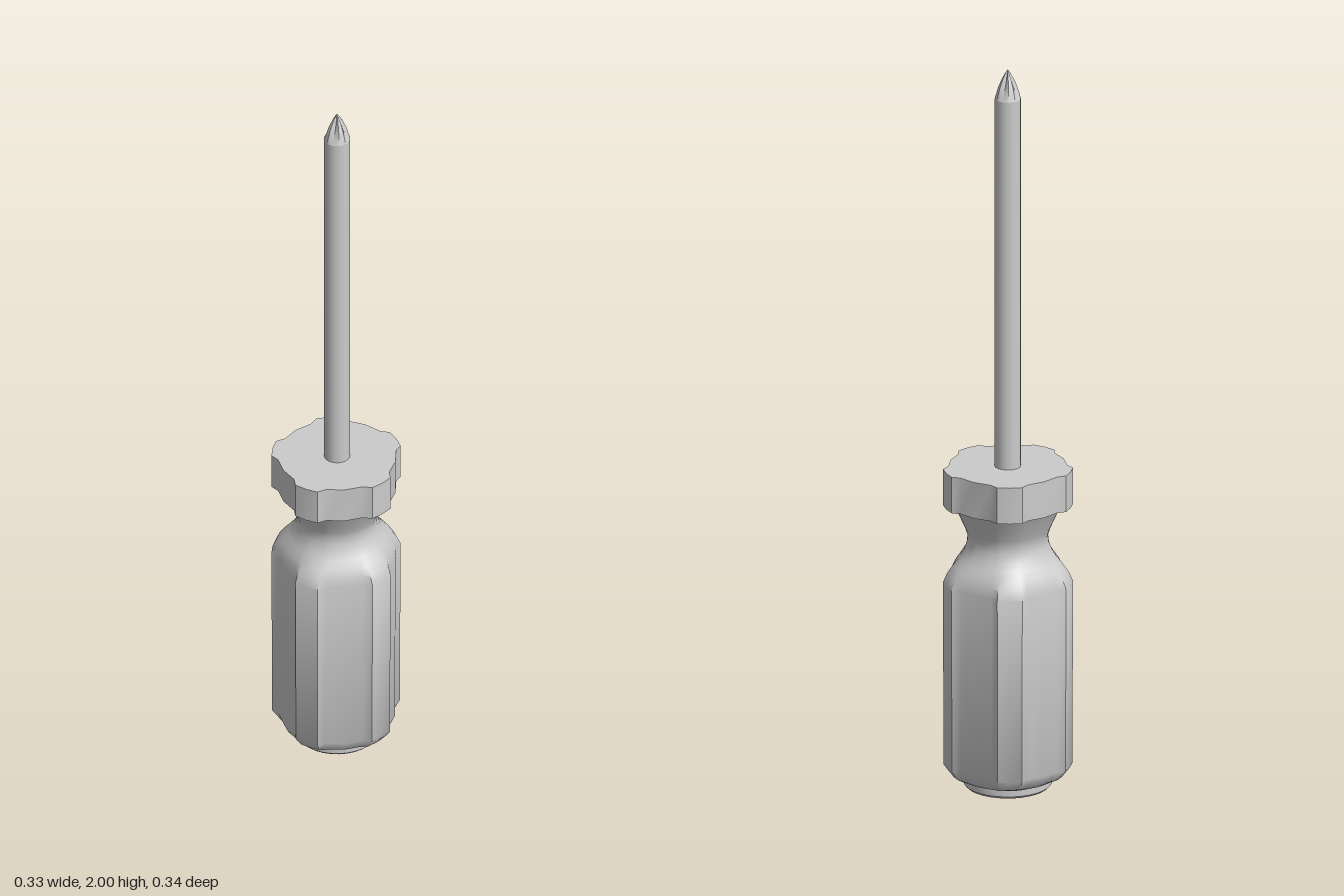
import * as THREE from 'three';
import { toCreasedNormals } from 'three/addons/utils/BufferGeometryUtils.js';

const rad = THREE.MathUtils.degToRad;

// Skin a stack of rings, each an array of Vector3; a ring may collapse to a point.
function skin(rings, crease) {
  const pos = [];
  const tri = (a, b, c) => {
    if (a.distanceTo(b) < 1e-6 || b.distanceTo(c) < 1e-6 || a.distanceTo(c) < 1e-6) return;
    for (const p of [a, b, c]) pos.push(p.x, p.y, p.z);
  };
  for (let i = 0; i < rings.length - 1; i++) {
    const lo = rings[i], hi = rings[i + 1], n = lo.length;
    for (let j = 0; j < n; j++) {
      const k = (j + 1) % n;
      tri(lo[j], hi[j], lo[k]);
      tri(lo[k], hi[j], hi[k]);
    }
  }
  const geo = new THREE.BufferGeometry();
  geo.setAttribute('position', new THREE.Float32BufferAttribute(pos, 3));
  return toCreasedNormals(geo, rad(crease));
}

const polar = (r, deg, y) => new THREE.Vector3(r * Math.cos(rad(deg)), y, r * Math.sin(rad(deg)));

// Five raised ribs around the grip; lobe is 0 for a round ring, 1 for full ribs.
function gripRing([y, r, lobe]) {
  const ring = [];
  for (let i = 0; i < 5; i++) {
    for (const a of [-18, -11, 0, 11, 18, 36]) {
      ring.push(polar(r + (Math.abs(a) < 12 ? 0.016 * lobe : 0), i * 72 + a, y));
    }
  }
  return ring;
}

// Cross tip: four grooves on the diagonals, depth 0 to 1.
function tipRing([y, r, depth]) {
  const ring = [];
  for (let i = 0; i < 24; i++) {
    const a = i * 15;
    const off = Math.abs((a % 90) - 45);
    const cut = off < 1 ? 0.5 : off < 16 ? 0.3 : 0;
    ring.push(polar(r * (1 - cut * depth), a, y));
  }
  return ring;
}

export function createModel() {
  const group = new THREE.Group();
  const material = new THREE.MeshStandardMaterial({ color: 0xcccccc });
  const add = (name, geometry) => {
    const mesh = new THREE.Mesh(geometry, material);
    mesh.name = name;
    group.add(mesh);
  };

  // Ribbed grip, waist and collar in one skin: [height, radius, rib amount]
  const handle = [
    [0.045, 0, 0], [0.045, 0.13, 0.2], [0.053, 0.141, 0.5], [0.08, 0.153, 1],
    [0.585, 0.155, 1], [0.61, 0.149, 0.7], [0.63, 0.14, 0.4], [0.65, 0.126, 0.15],
    [0.668, 0.115, 0], [0.69, 0.107, 0], [0.71, 0.105, 0], [0.73, 0.111, 0],
    [0.755, 0.122, 0], [0.78, 0.133, 0], [0.797, 0.142, 0],
    [0.8, 0.155, 1], [0.9, 0.155, 1], [0.9, 0, 0],
  ];
  add('handle', skin(handle.map(gripRing), 38));

  // Domed end cap under the grip
  const cap = [[0, 0], [0.05, 0.002], [0.085, 0.007], [0.108, 0.015], [0.115, 0.022], [0.115, 0.05]];
  add('endCap', toCreasedNormals(
    new THREE.LatheGeometry(cap.map(([r, y]) => new THREE.Vector2(r, y)), 32), rad(35)));

  // Steel shaft
  const shaft = new THREE.CylinderGeometry(0.034, 0.034, 1.03, 24, 1, true);
  shaft.translate(0, 1.405, 0);
  add('shaft', shaft);

  // Fluted point
  const tip = [
    [1.92, 0.034, 0], [1.935, 0.03, 0.3], [1.955, 0.024, 0.75],
    [1.975, 0.0155, 1], [1.99, 0.007, 1], [2, 0, 0],
  ];
  add('tip', skin(tip.map(tipRing), 30));

  // An odd rib count shifts the axis slightly off the bounding-box centre
  group.children.forEach((part) => { part.position.x = -0.007; });
  return group;
}
